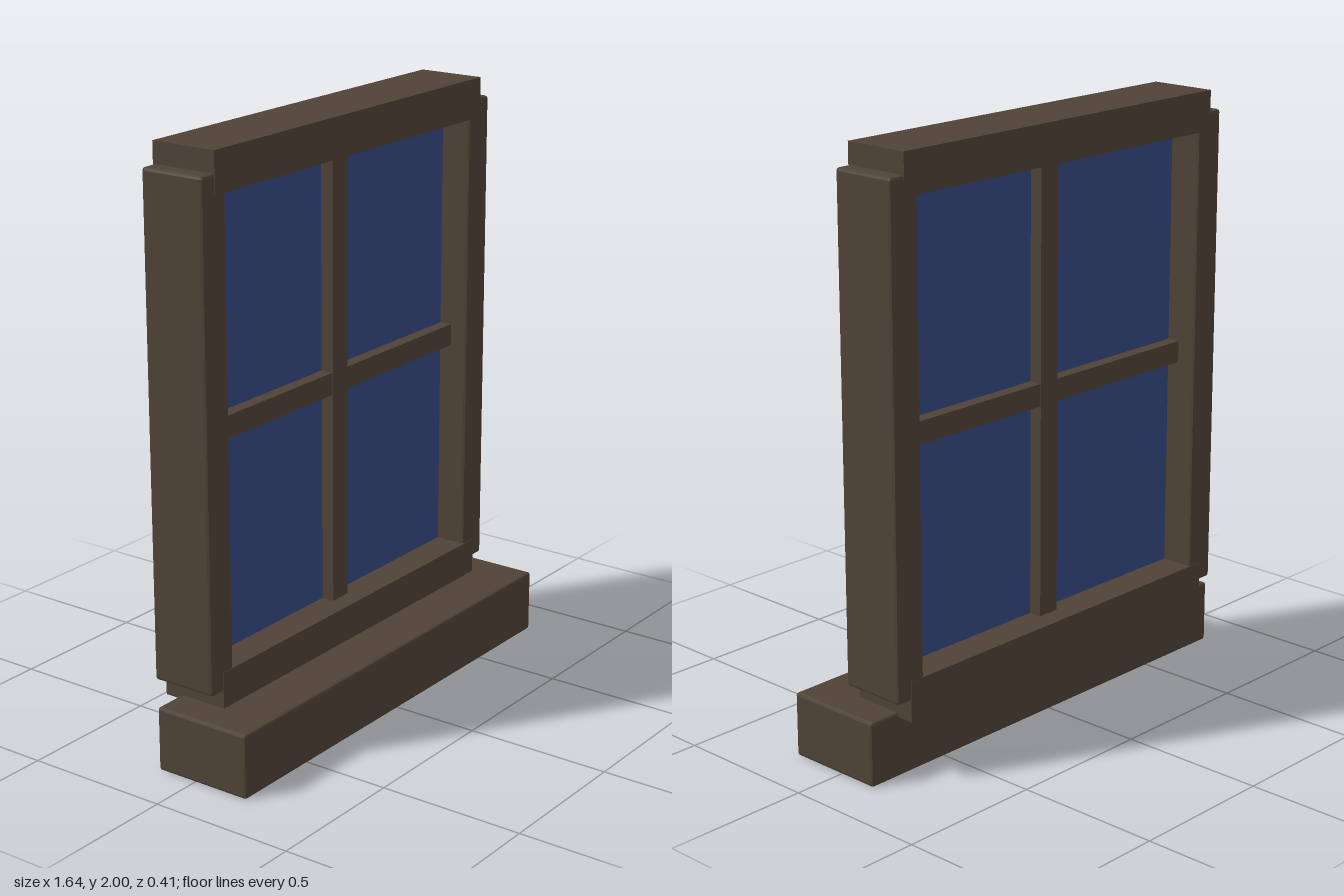
import * as THREE from 'three';
import { RoundedBoxGeometry } from 'three/addons/geometries/RoundedBoxGeometry.js';

export function createModel() {
  const model = new THREE.Group();
  model.name = 'window';
  const wood = new THREE.MeshStandardMaterial({ color: 0x4f4236 });
  wood.name = 'dark wood';
  const glass = new THREE.MeshStandardMaterial({ color: 0x34477f });
  glass.name = 'blue glass';

  // Box from its lower and upper corners; bevel > 0 chamfers the edges
  function block(name, min, max, material, bevel = 0) {
    const size = max.map((v, i) => v - min[i]);
    let geometry;
    if (bevel) {
      geometry = new RoundedBoxGeometry(...size, 1, bevel);
      geometry.computeVertexNormals(); // unshared vertices give flat facets
    } else {
      geometry = new THREE.BoxGeometry(...size);
    }
    const mesh = new THREE.Mesh(geometry, material);
    mesh.position.set(...max.map((v, i) => (v + min[i]) / 2));
    mesh.name = name;
    model.add(mesh);
  }

  // Sill
  block('sill', [-0.82, 0, -0.145], [0.82, 0.218, 0.205], wood, 0.009);

  // Frame rails
  block('topRail', [-0.705, 1.865, -0.205], [0.705, 2, 0.03], wood);
  block('bottomRail', [-0.705, 0.203, -0.205], [0.705, 0.34, 0.03], wood);

  // Frame side posts, shorter than the frame and standing out past the rails
  block('leftPost', [0.648, 0.275, -0.204], [0.76, 1.93, 0.028], wood, 0.01);
  block('rightPost', [-0.76, 0.275, -0.204], [-0.652, 1.93, 0.028], wood, 0.01);

  // Crossing glazing bars
  block('verticalBar', [-0.04, 0.33, -0.134], [0.04, 1.875, -0.036], wood);
  block('horizontalBar', [-0.66, 1.065, -0.133], [0.66, 1.14, -0.037], wood);

  // Four panes
  for (const x of [-0.66, 0]) {
    for (const y of [0.33, 1.1]) {
      block('pane', [x, y, -0.089], [x + 0.66, y + 0.775, -0.081], glass);
    }
  }
  return model;
}
